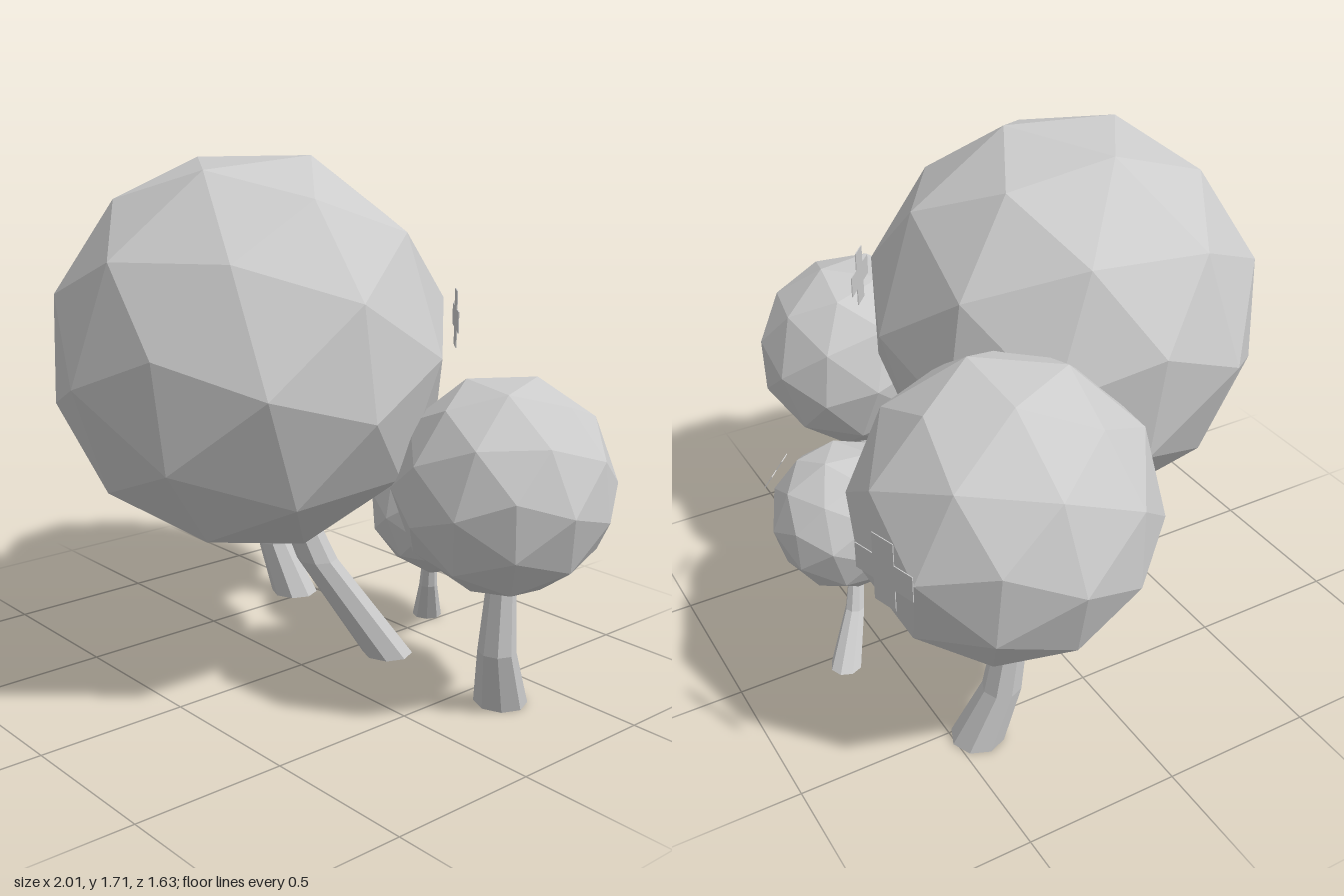
import * as THREE from 'three';

const clay = new THREE.MeshStandardMaterial({ color: 0xcccccc, flatShading: true });
clay.name = 'light grey';

const v = (a) => new THREE.Vector3(...a);

function part(name, geometry) {
  const mesh = new THREE.Mesh(geometry, clay);
  mesh.name = name;
  return mesh;
}

// Rotation whose z axis is a, with b in its yz plane
function frame(a, b) {
  const z = a.clone().normalize();
  const x = z.clone().cross(b).normalize();
  return new THREE.Matrix4().makeBasis(x, z.clone().cross(x), z);
}

// Faceted ball with one triangle facing almost straight up
function crown(center, radius, yaw) {
  const t = (1 + Math.sqrt(5)) / 2;
  const from = frame(v([-1, t, 0]), v([0, 1, t]));
  const to = frame(v([0.44, 0.58, 0.07]), v([-0.24, 0.56, 0.41]));
  const geometry = new THREE.IcosahedronGeometry(radius, 1)
    .applyMatrix4(to.multiply(from.transpose()))
    .rotateY(yaw)
    .translate(...center);
  return part('crown', geometry);
}

// Bent, tapered eight-sided stem; rings run from top to bottom as [x, y, z, radius]
function trunk(rings) {
  const last = rings.length - 1;
  const geometry = new THREE.CylinderGeometry(1, 1, 1, 8, last);
  const p = geometry.attributes.position;
  for (let i = 0; i < p.count; i++) {
    const [x, y, z, r] = rings[Math.round((0.5 - p.getY(i)) * last)];
    p.setXYZ(i, x + p.getX(i) * r, y, z + p.getZ(i) * r);
  }
  geometry.computeVertexNormals();
  return part('trunk', geometry);
}

// Thin plus-shaped plate facing along a normal
function cross(center, size, normal) {
  const h = size / 2, w = size * 0.185;
  const corners = [];
  for (let k = 0; k < 4; k++) {
    const c = Math.round(Math.cos(k * Math.PI / 2)), s = Math.round(Math.sin(k * Math.PI / 2));
    for (const [x, y] of [[w, w], [w, h], [-w, h]]) {
      corners.push(new THREE.Vector2(x * c - y * s, x * s + y * c));
    }
  }
  const depth = 0.003;
  const geometry = new THREE.ExtrudeGeometry(new THREE.Shape(corners), { depth, bevelEnabled: false });
  geometry.translate(0, 0, -depth / 2);
  const mesh = part('crossPlate', geometry);
  mesh.position.set(...center);
  mesh.lookAt(v(center).add(v(normal)));
  return mesh;
}

const trees = [
  {
    name: 'largeTree', center: [-0.02, 1.11, 0.19], radius: 0.627, yaw: 0,
    rings: [[0.01, 0.62, 0.06, 0.055], [0.045, 0.39, -0.03, 0.067], [0.105, 0, -0.3, 0.086]],
    plate: [[0.345, 1.2, -0.345], 0.18, [0.65, 0, -0.76]],
  },
  {
    name: 'rightTree', center: [-0.555, 0.855, -0.325], radius: 0.458, yaw: -0.49,
    rings: [[-0.605, 0.48, -0.325, 0.048], [-0.59, 0.21, -0.36, 0.062], [-0.55, 0, -0.425, 0.086]],
    plate: [[-0.71, 0.9, -0.782], 0.22, [-0.295, 0, -0.955]],
  },
  {
    name: 'leftTree', center: [0.663, 0.745, -0.24], radius: 0.342, yaw: 0.38,
    rings: [[0.7, 0.48, -0.205, 0.043], [0.682, 0.22, -0.215, 0.06], [0.62, 0, -0.31, 0.086]],
  },
  {
    name: 'smallTree', center: [0.1, 0.488, -0.55], radius: 0.247, yaw: 1.05,
    rings: [[0.065, 0.3, -0.54, 0.024], [0.03, 0.16, -0.57, 0.032], [-0.052, 0, -0.65, 0.052]],
    plate: [[0.255, 0.625, -0.72], 0.13, [0.58, 0.52, -0.63]],
  },
];

export function createModel() {
  const model = new THREE.Group();
  model.name = 'treeCluster';
  for (const t of trees) {
    const tree = new THREE.Group();
    tree.name = t.name;
    tree.add(crown(t.center, t.radius, t.yaw), trunk(t.rings));
    if (t.plate) tree.add(cross(...t.plate));
    model.add(tree);
  }
  return model;
}
